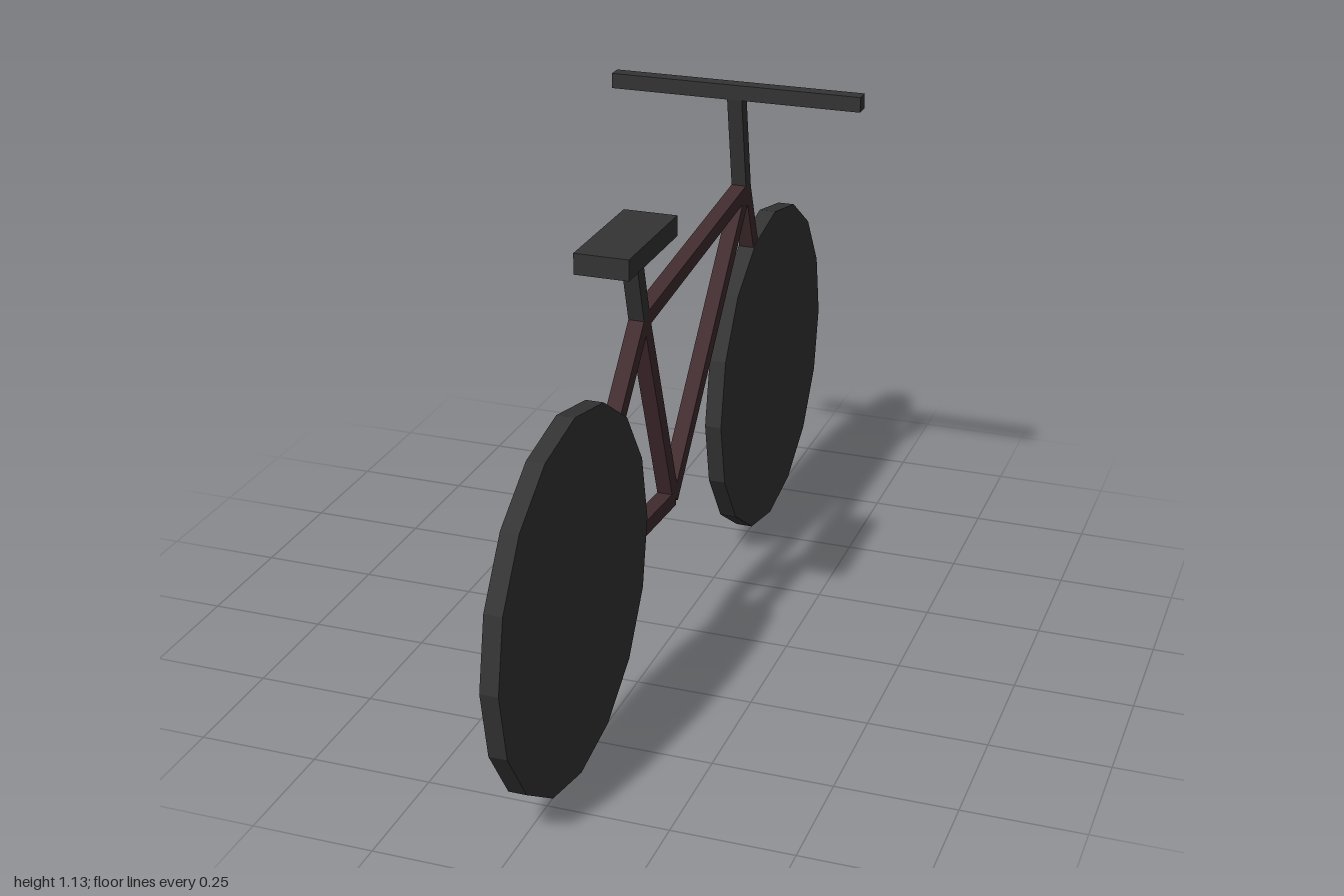
import * as THREE from 'three';

export function createModel() {
  const bike = new THREE.Group();
  bike.name = 'bicycle';
  const mat = (name, color) => {
    const m = new THREE.MeshStandardMaterial({ color, flatShading: true });
    m.name = name;
    return m;
  };
  const black = mat('charcoal black', 0x343434);
  const brown = mat('dark red brown', 0x422c2f);

  const add = (name, geometry, material, y, z) => {
    const mesh = new THREE.Mesh(geometry, material);
    mesh.name = name;
    mesh.position.set(0, y, z);
    bike.add(mesh);
    return mesh;
  };

  // Joints of the frame as [y, z]
  const seatJoint = [0.81, 0.225];
  const crank = [0.344, 0.056];
  const head = [0.878, -0.422];
  const rearAxle = [0.382, 0.618];
  const frontAxle = [0.382, -0.618];

  // Square bar running between two joints
  const T = 0.033;
  const bar = (name, a, b, material) => {
    const dy = b[0] - a[0], dz = b[1] - a[1];
    const mesh = add(name, new THREE.BoxGeometry(T, Math.hypot(dy, dz), T), material,
      (a[0] + b[0]) / 2, (a[1] + b[1]) / 2);
    mesh.rotation.x = Math.atan2(dz, dy);
  };

  // Frame
  bar('topTube', seatJoint, head, brown);
  bar('downTube', crank, head, brown);
  bar('seatTube', crank, seatJoint, brown);
  bar('chainStay', crank, rearAxle, brown);
  bar('seatStay', seatJoint, rearAxle, brown);
  bar('fork', head, frontAxle, brown);

  // Seat post, stem, saddle and handlebar
  bar('seatPost', seatJoint, [0.98, 0.274], black);
  bar('stem', head, [1.112, -0.38], black);
  add('saddle', new THREE.BoxGeometry(0.112, 0.043, 0.27), black, 0.991, 0.294);
  add('handlebar', new THREE.BoxGeometry(0.56, 0.033, 0.033), black, 1.113, -0.38);

  // Solid sixteen-sided wheels
  const wheel = new THREE.CylinderGeometry(0.382, 0.382, 0.037, 16).rotateZ(Math.PI / 2);
  add('rearWheel', wheel, black, ...rearAxle);
  add('frontWheel', wheel, black, ...frontAxle);

  return bike;
}
